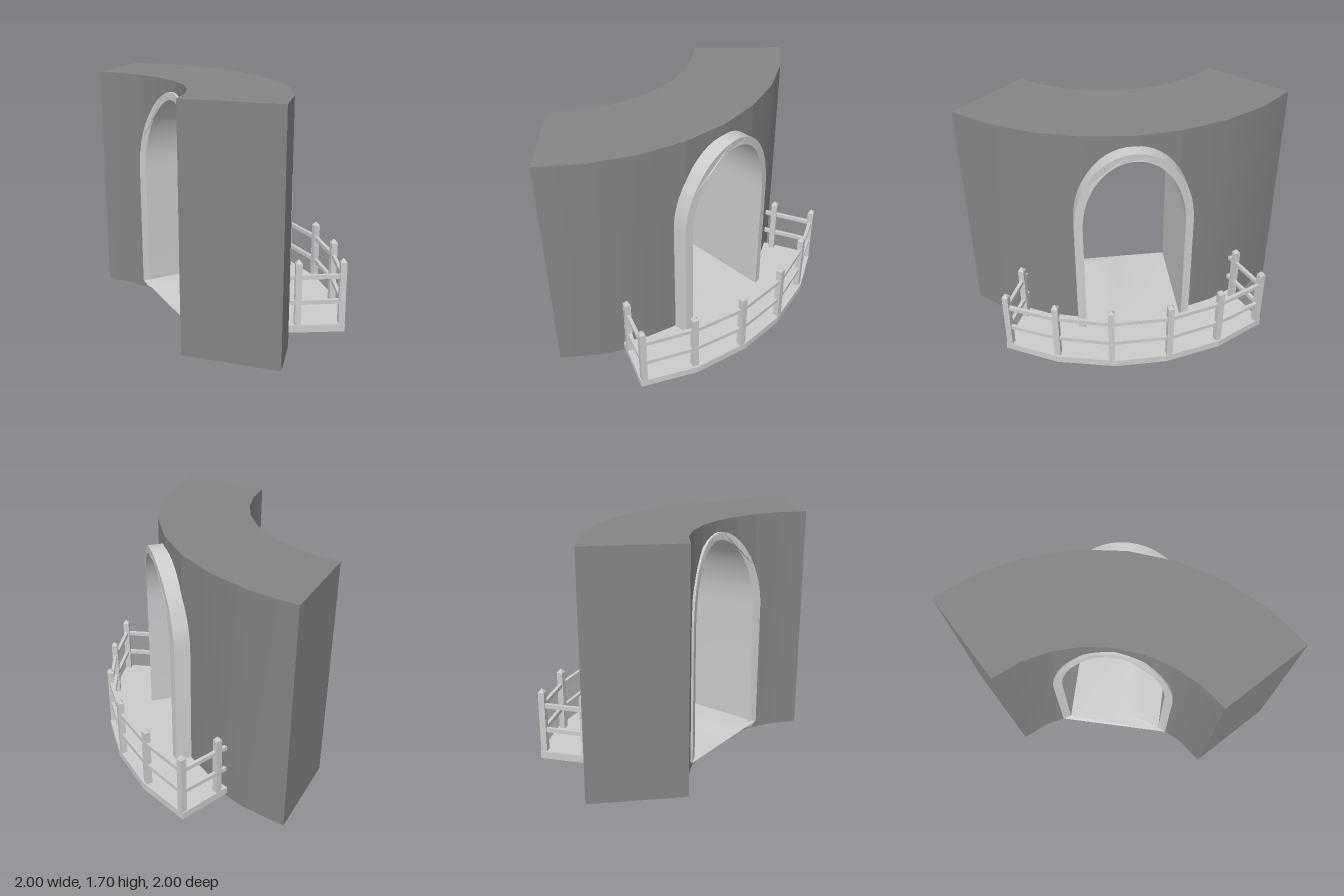
import * as THREE from 'three';
import { toCreasedNormals } from 'three/addons/utils/BufferGeometryUtils.js';

const H = 1.695, R_IN = 1.02, R_OUT = 1.697, STEP = Math.PI / 16, HALF = Math.PI / 4;
const stone = new THREE.MeshStandardMaterial({ color: 0x828486 });
const trim = new THREE.MeshStandardMaterial({ color: 0xcccccc });

function add(parent, geometry, material, name) {
  const mesh = new THREE.Mesh(geometry, material);
  mesh.name = name;
  parent.add(mesh);
  return mesh;
}

// Quarter-ring wall of eight facets, with an arched opening through its middle.
function wallGeometry() {
  const pos = [];
  const quad = (a, b, c, d, flip) => {
    const q = flip ? [d, c, b, a] : [a, b, c, d];
    for (const i of [0, 1, 2, 0, 2, 3]) pos.push(...q[i]);
  };
  const at = (r, a, y) => {
    const k = Math.min(7, Math.floor((a + HALF) / STEP + 1e-6));
    const mid = -HALF + (k + 0.5) * STEP;
    const rho = r * Math.cos(STEP / 2) / Math.cos(a - mid);
    return [rho * Math.sin(a), y, rho * Math.cos(a)];
  };
  const facets = Array.from({ length: 9 }, (_, i) => -HALF + i * STEP);
  const hole = 0.395;
  const archTop = (v) => 1 + 0.585 * Math.sqrt(Math.max(0, 1 - (v / hole) ** 2));

  // Curved faces, in columns that stop below and resume above the opening
  for (const r of [R_IN, R_OUT]) {
    const angles = [...facets];
    for (let i = 0; i <= 24; i++) angles.push(Math.asin(hole * Math.cos(Math.PI * i / 24) / r));
    angles.sort((p, q) => p - q);
    const cols = angles.filter((a, i) => i === 0 || a - angles[i - 1] > 1e-5);
    for (let i = 0; i + 1 < cols.length; i++) {
      const [a, b] = [cols[i], cols[i + 1]];
      const strip = (y0a, y0b, y1a, y1b) =>
        quad(at(r, a, y0a), at(r, b, y0b), at(r, b, y1b), at(r, a, y1a), r === R_IN);
      if (Math.abs(r * Math.sin((a + b) / 2)) < hole) {
        strip(0, 0, 0.05, 0.05);
        strip(archTop(r * Math.sin(a)), archTop(r * Math.sin(b)), H, H);
      } else strip(0, 0, H, H);
    }
  }
  // Top, underside and the two end faces
  for (let i = 0; i < 8; i++) {
    const [a, b] = [facets[i], facets[i + 1]];
    for (const y of [0, H])
      quad(at(R_IN, a, y), at(R_OUT, a, y), at(R_OUT, b, y), at(R_IN, b, y), y === 0);
  }
  for (const s of [-1, 1])
    quad(at(R_OUT, s * HALF, 0), at(R_IN, s * HALF, 0), at(R_IN, s * HALF, H), at(R_OUT, s * HALF, H), s < 0);

  const geo = new THREE.BufferGeometry();
  geo.setAttribute('position', new THREE.Float32BufferAttribute(pos, 3));
  return toCreasedNormals(geo, 0.5);
}

// Arch outline: straight jambs, elliptical head, sill with cut corners
function archPoints(w, y0, rise, cut) {
  const pts = [];
  const sill = w - cut;
  for (let i = 0; i <= 10; i++) pts.push(new THREE.Vector2(-sill + 2 * sill * i / 10, y0));
  if (cut) pts.push(new THREE.Vector2(w, y0 + cut));
  for (let i = 0; i <= 28; i++) {
    const t = Math.PI * i / 28;
    pts.push(new THREE.Vector2(w * Math.cos(t), 1 + rise * Math.sin(t)));
  }
  if (cut) pts.push(new THREE.Vector2(-w, y0 + cut));
  return pts;
}

// Lining of the opening, its two faces bent to follow the wall
function frameGeometry() {
  const shape = new THREE.Shape(archPoints(0.425, 0.02, 0.615, 0.04));
  shape.holes.push(new THREE.Path(archPoints(0.365, 0.08, 0.56, 0)));
  const geo = new THREE.ExtrudeGeometry(shape, { depth: 1, bevelEnabled: false });
  const p = geo.attributes.position;
  for (let i = 0; i < p.count; i++) {
    const r = p.getZ(i) > 0.5 ? 1.8 : 1.0;
    p.setZ(i, Math.sqrt(r * r - p.getX(i) ** 2));
  }
  return toCreasedNormals(geo, 0.5);
}

// Mirrors half a path of [x, z] points across x = 0
const mirrored = (half) => [...half, ...half.map(([x, z]) => [-x, z]).reverse()];

function deckGeometry() {
  const outer = mirrored([[-0.76, 1.36], [-0.979, 1.849], [-0.605, 2.042], [-0.189, 2.14]]);
  const inner = mirrored([[0.6, 1.45], [0.3, 1.55]]);
  const shape = new THREE.Shape([...outer, ...inner].map(([x, z]) => new THREE.Vector2(x, z)));
  const geo = new THREE.ExtrudeGeometry(shape, { depth: 0.055, bevelEnabled: false });
  return geo.rotateX(Math.PI / 2).translate(0, 0.08, 0);
}

function buildRailing() {
  const railing = new THREE.Group();
  railing.name = 'railing';
  const path = mirrored([[-0.773, 1.44], [-0.823, 1.558], [-0.942, 1.841], [-0.598, 2.005], [-0.212, 2.11]]);
  const shaft = new THREE.BoxGeometry(0.045, 0.46, 0.045);
  const cap = new THREE.CylinderGeometry(0, 0.045 / Math.SQRT2, 0.03, 4, 1).rotateY(Math.PI / 4);
  cap.computeVertexNormals();
  const capGeo = toCreasedNormals(cap, 0.3);

  // Square posts with pyramid caps
  path.slice(1, -1).forEach(([x, z]) => {
    const post = new THREE.Group();
    post.name = 'post';
    add(post, shaft, trim, 'postShaft').position.y = 0.3;
    add(post, capGeo, trim, 'postCap').position.y = 0.545;
    post.position.set(x, 0, z);
    post.rotation.y = Math.sign(x) * Math.min(Math.atan2(Math.abs(x), z), 0.42);
    railing.add(post);
  });
  // Two rails from post to post and into the wall
  for (let i = 0; i + 1 < path.length; i++) {
    const [[x0, z0], [x1, z1]] = [path[i], path[i + 1]];
    const geo = new THREE.BoxGeometry(0.025, 0.03, Math.hypot(x1 - x0, z1 - z0));
    for (const y of [0.243, 0.428]) {
      const rail = add(railing, geo, trim, 'rail');
      rail.position.set((x0 + x1) / 2, y, (z0 + z1) / 2);
      rail.rotation.y = Math.atan2(x1 - x0, z1 - z0);
    }
  }
  return railing;
}

export function createModel() {
  const model = new THREE.Group();
  model.name = 'curvedWallWithBalcony';
  // Everything is built around the ring's centre with the doorway along +z, then turned
  const body = new THREE.Group();
  body.name = 'body';
  body.position.set(-1, 0, 1);
  body.rotation.y = 3 * Math.PI / 4;
  add(body, wallGeometry(), stone, 'wall');
  add(body, frameGeometry(), trim, 'archFrame');
  add(body, deckGeometry(), trim, 'balconyFloor');
  body.add(buildRailing());
  model.add(body);
  return model;
}
